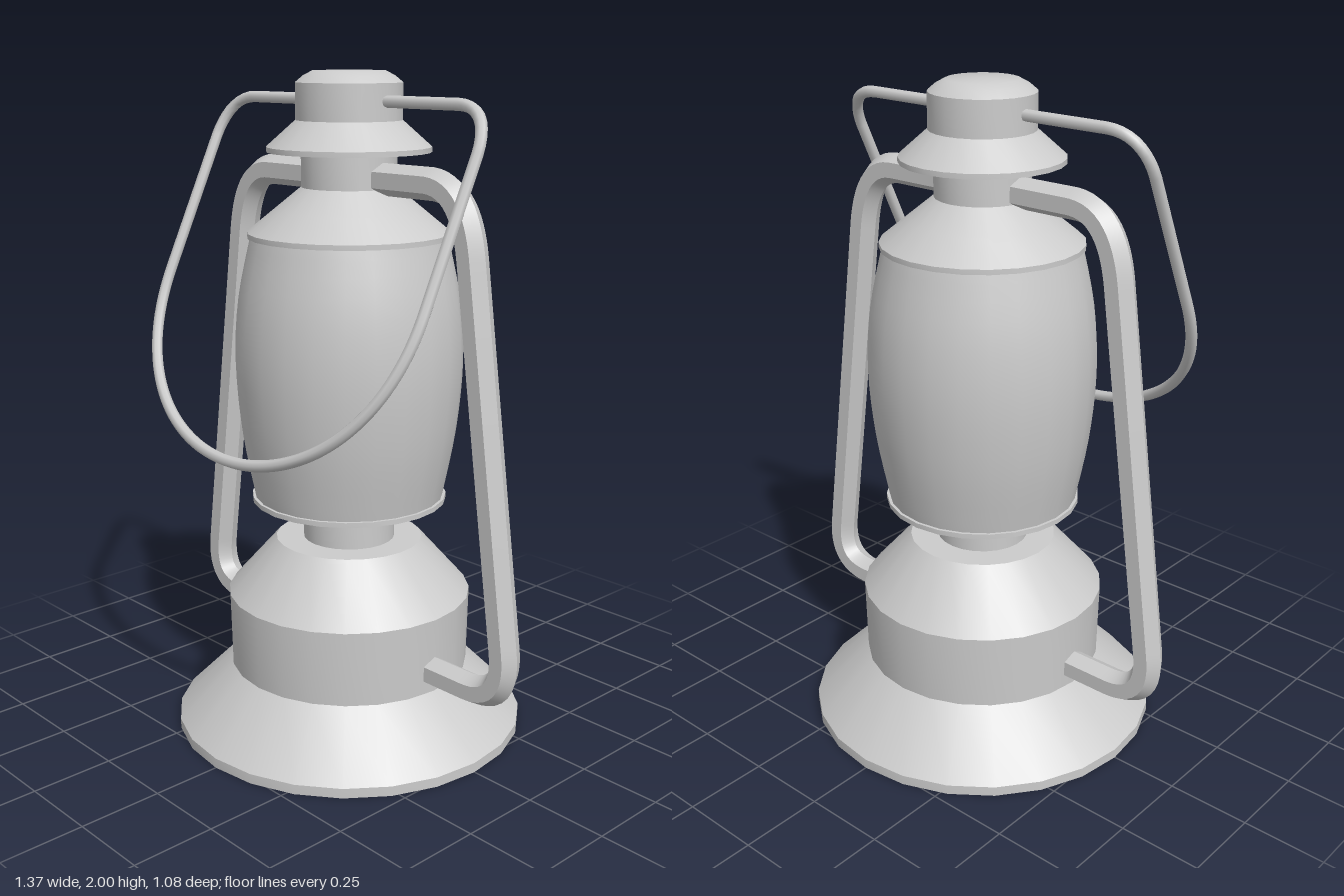
import * as THREE from 'three';
import { toCreasedNormals } from 'three/addons/utils/BufferGeometryUtils.js';

const material = new THREE.MeshStandardMaterial({ color: 0xcccccc });

function addMesh(group, name, geometry) {
  const mesh = new THREE.Mesh(geometry, material);
  mesh.name = name;
  group.add(mesh);
}

// Turned part from [radius, height] pairs, listed bottom to top
function turned(profile) {
  const points = profile.map(([r, y]) => new THREE.Vector2(r, y));
  return toCreasedNormals(new THREE.LatheGeometry(points, 24), 0.7);
}

// Joins segments of 2 (line), 3 (quadratic) or 4 (cubic) points
function makePath(segments) {
  const types = { 2: THREE.LineCurve3, 3: THREE.QuadraticBezierCurve3, 4: THREE.CubicBezierCurve3 };
  const path = new THREE.CurvePath();
  for (const s of segments) path.add(new types[s.length](...s));
  return path;
}

export function createModel() {
  const group = new THREE.Group();

  // Flared foot and fuel tank
  addMesh(group, 'fuelTank', turned([
    [0, 0], [0.54, 0], [0.54, 0.03], [0.37, 0.2], [0.375, 0.43], [0.225, 0.6], [0, 0.6]]));
  addMesh(group, 'burnerNeck', turned([[0.14, 0.59], [0.14, 0.735]]));

  // Bulging globe between two thin rims
  const globe = new THREE.SplineCurve([
    [0.287, 0.735], [0.325, 0.94], [0.342, 1.15], [0.33, 1.34], [0.29, 1.53],
  ].map(([r, y]) => new THREE.Vector2(r, y))).getPoints(16).map((p) => [p.x, p.y]);
  addMesh(group, 'globe', turned(globe));
  addMesh(group, 'lowerRim', turned([[0, 0.725], [0.297, 0.725], [0.297, 0.74], [0.27, 0.74]]));

  // Conical shoulder and chimney
  addMesh(group, 'shoulder', turned([
    [0, 1.525], [0.3, 1.525], [0.3, 1.54], [0.22, 1.605], [0.14, 1.67], [0.14, 1.78]]));

  // Vent cap with flared skirt and shallow crown
  addMesh(group, 'ventCap', turned([
    [0, 1.77], [0.24, 1.77], [0.24, 1.785], [0.155, 1.86], [0.155, 1.965],
    [0.132, 1.984], [0.105, 1.998], [0, 2]]));

  // Hexagonal side tubes, edge outward
  const hexagon = new THREE.Shape(Array.from({ length: 6 }, (_, i) => {
    const a = Math.PI / 6 + (i * Math.PI) / 3;
    return new THREE.Vector2(0.046 * Math.cos(a), 0.046 * Math.sin(a));
  }));
  for (const [side, name] of [[1, 'leftSideTube'], [-1, 'rightSideTube']]) {
    const p = (x, y) => new THREE.Vector3(side * x, y, 0);
    const path = makePath([
      [p(0.12, 1.7), p(0.33, 1.7)],
      [p(0.33, 1.7), p(0.46, 1.7), p(0.487, 1.5)],
      [p(0.487, 1.5), p(0.638, 0.42)],
      [p(0.638, 0.42), p(0.658, 0.265), p(0.51, 0.265)],
      [p(0.51, 0.265), p(0.355, 0.265)],
    ]);
    const tube = new THREE.ExtrudeGeometry(hexagon, { extrudePath: path, steps: 100, bevelEnabled: false });
    addMesh(group, name, toCreasedNormals(tube, 0.6));
  }

  // Wire carrying handle, leaning forward as it drops
  const w = (x, y) => new THREE.Vector3(x, y, (1.915 - y) * 0.48);
  const half = (s) => [
    [w(s * 0.14, 1.915), w(s * 0.43, 1.915)],
    [w(s * 0.43, 1.915), w(s * 0.535, 1.91), w(s * 0.545, 1.8)],
    [w(s * 0.545, 1.8), w(s * 0.545, 1.4)],
    [w(s * 0.545, 1.4), w(s * 0.545, 1.1), w(s * 0.28, 0.935), w(0, 0.935)],
  ];
  const back = half(1).reverse().map((s) => s.reverse());
  addMesh(group, 'carryHandle',
    new THREE.TubeGeometry(makePath([...half(-1), ...back]), 160, 0.017, 8));

  return group;
}
